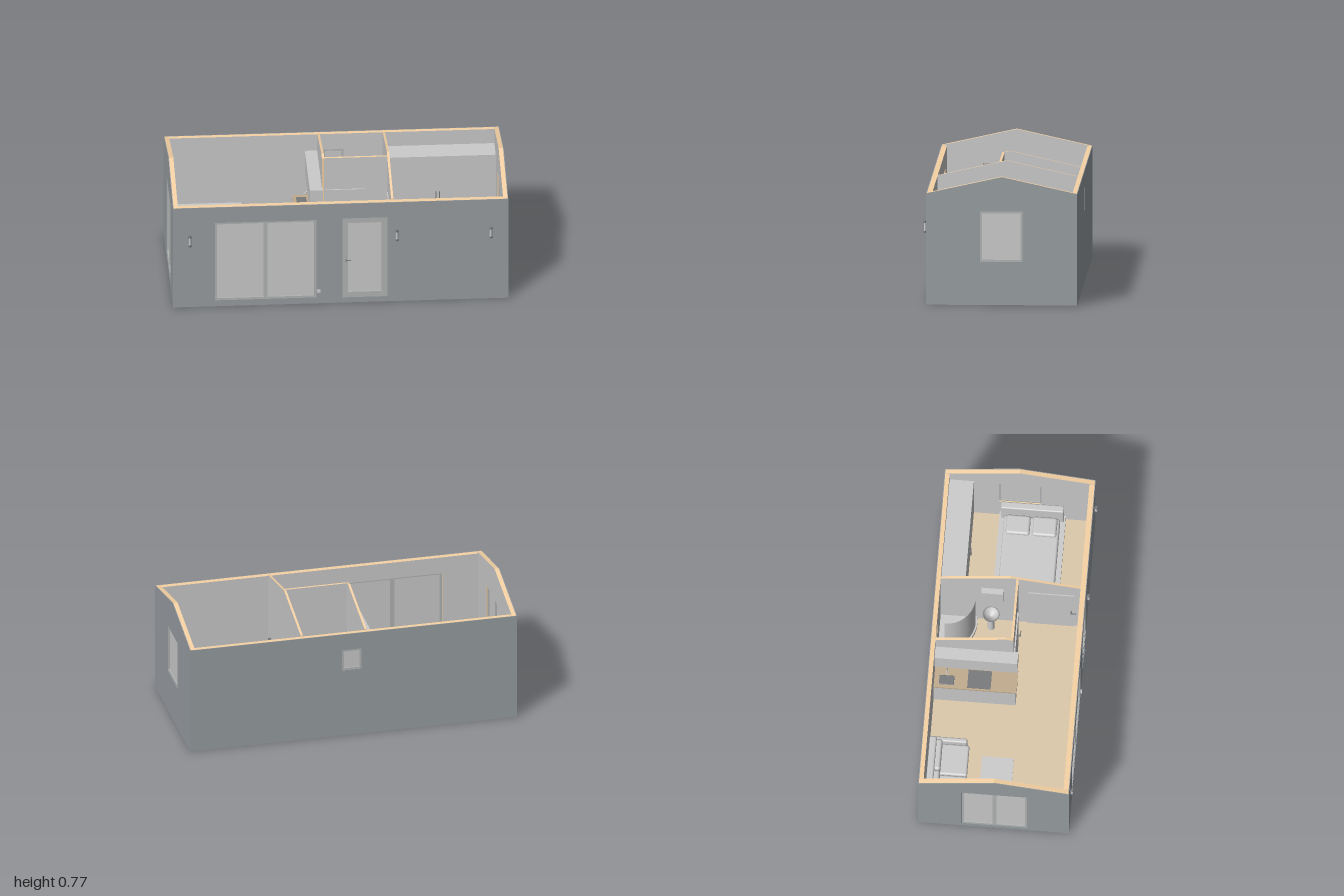
import * as THREE from 'three';
import { RoundedBoxGeometry } from 'three/addons/geometries/RoundedBoxGeometry.js';

const mat = (color) => new THREE.MeshStandardMaterial({ color, side: THREE.DoubleSide });
const GREY = mat(0xcccccc), CLAD = mat(0x989ea2), TIMBER = mat(0xf6d2a4), FLOOR = mat(0xdcc8aa),
  FRAME = mat(0xb2b6b3), DARK = mat(0x77797b), COUNTER = mat(0xc0aa8c);
const FLOOR_Y = 0.035, BACK = -0.46, FRONT = 0.44, EAVES = 0.67, RIDGE = 0.77, SKIN = 0.004;
const roofY = (z) => RIDGE - (RIDGE - EAVES) * Math.abs(z + 0.01) / 0.45;

function group(name, parent) {
  const g = new THREE.Group();
  g.name = name;
  parent.add(g);
  return g;
}

function mesh(name, geometry, material, parent, x = 0, y = 0, z = 0) {
  const m = new THREE.Mesh(geometry, material);
  m.name = name;
  m.position.set(x, y, z);
  parent.add(m);
  return m;
}

// Box given by its limits; a radius rounds the edges
function box(name, parent, [x0, x1], [y0, y1], [z0, z1], material = GREY, radius = 0) {
  const s = [x1 - x0, y1 - y0, z1 - z0];
  const geo = radius ? new RoundedBoxGeometry(...s, 3, radius) : new THREE.BoxGeometry(...s);
  return mesh(name, geo, material, parent, (x0 + x1) / 2, (y0 + y1) / 2, (z0 + z1) / 2);
}

const rect = (a, b, c, d) => [[a, c], [b, c], [b, d], [a, d]];
const gable = (z0, z1, y0 = 0) => {
  const top = z0 < -0.01 && z1 > -0.01 ? [[-0.01, RIDGE]] : [];
  return [[z0, y0], [z1, y0], [z1, roofY(z1)], ...top, [z0, roofY(z0)]];
};
const vectors = (pts) => pts.map(([a, b]) => new THREE.Vector2(a, b));

function slab(outline, holes, depth) {
  const shape = new THREE.Shape(vectors(outline));
  shape.holes = holes.map((h) => new THREE.Path(vectors(h)));
  return new THREE.ExtrudeGeometry(shape, { depth, bevelEnabled: false });
}

// Frame, glass panes and mullions filling one opening
function glazing(name, parent, { u, v, panes = 1, border = 0.012 }, z) {
  const g = group(name, parent);
  const [a, b] = u, [c, d] = v, step = (b - a) / panes, holes = [];
  for (let i = 0; i < panes; i++) {
    holes.push(rect(a + i * step + border, a + (i + 1) * step - border, c + border, d - border));
  }
  mesh('frame', slab(rect(a, b, c, d), holes, 0.02), FRAME, g, 0, 0, z - 0.01);
  for (let i = 0; i < panes; i++) {
    box('glass', g, [a + i * step, a + (i + 1) * step], [c + 0.005, d - 0.005], [z - 0.002, z + 0.002]);
  }
}

// Timber core lined inside, cladding skin outside, openings glazed
function outerWall(name, parent, core, skin, depth, outerAtEnd, openings) {
  const g = group(name, parent);
  const holes = openings.map(({ u, v }) => rect(...u, ...v));
  mesh('wallCore', slab(core, holes, depth - SKIN), [GREY, TIMBER], g, 0, 0, outerAtEnd ? 0 : SKIN);
  mesh('cladding', slab(skin, holes, SKIN), CLAD, g, 0, 0, outerAtEnd ? depth - SKIN : 0);
  openings.forEach((o) => glazing(o.name, g, o, outerAtEnd ? depth - 0.014 : 0.014));
  return g;
}

function buildShell(root) {
  const s = group('shell', root);
  const long = [rect(-0.996, 0.996, 0, EAVES), rect(-1, 1, 0, EAVES)];
  const end = [gable(BACK + SKIN, FRONT - SKIN), gable(BACK, FRONT)];
  outerWall('frontWall', s, ...long, 0.035, true, [
    { name: 'slidingDoor', u: [-0.75, -0.145], v: [0.04, 0.565], panes: 2 },
    { name: 'entranceDoor', u: [0.01, 0.28], v: [0.035, 0.57], border: 0.034 },
  ]).position.z = FRONT - 0.035;
  outerWall('backWall', s, ...long, 0.03, false, [
    { name: 'bathroomWindow', u: [-0.05, 0.07], v: [0.43, 0.565] },
  ]).position.z = BACK;
  const right = outerWall('bedroomEndWall', s, ...end, 0.03, false, [
    { name: 'bedroomWindow', u: [-0.135, 0.12], v: [0.26, 0.563] },
  ]);
  const left = outerWall('livingEndWall', s, ...end, 0.03, true, [
    { name: 'patioDoor', u: [-0.2, 0.19], v: [0.04, 0.565], panes: 2 },
  ]);
  right.position.x = 1;
  left.position.x = -0.97;
  right.rotation.y = left.rotation.y = -Math.PI / 2;
  box('floorBase', s, [-0.97, 0.97], [0.002, 0.02], [-0.43, 0.405], DARK);
  box('floor', s, [-0.97, 0.97], [0.02, FLOOR_Y], [-0.43, 0.405], FLOOR);

  // Inner partitions follow the roof slope
  const faces = [GREY, TIMBER];
  for (const [x, z0, z1] of [[-0.073, -0.43, 0.036], [0.317, -0.43, 0.405]]) {
    const p = mesh('partition', slab(gable(z0, z1, 0.02), [], 0.014), faces, s, x);
    p.rotation.y = -Math.PI / 2;
  }
  mesh('hallPartition', slab(rect(-0.073, 0.303, 0.02, roofY(0.03)), [], 0.014), faces, s, 0, 0, 0.022);
}

// Lever handle pointing along +x, projecting along +z
function handle(parent, x, y, z, turn = 0) {
  const g = group('doorHandle', parent);
  box('spindle', g, [-0.004, 0.004], [-0.004, 0.004], [0, 0.016], DARK);
  box('lever', g, [-0.004, 0.03], [-0.003, 0.003], [0.012, 0.018], DARK);
  g.position.set(x, y, z);
  g.rotation.y = turn;
}

function buildFittings(root) {
  const f = group('fittings', root);
  for (const x of [-0.9, 0.335, 0.895]) {
    const lamp = group('wallLamp', f);
    box('backPlate', lamp, [-0.01, 0.01], [-0.02, 0.02], [0, 0.004], DARK);
    mesh('lampTube', new THREE.CylinderGeometry(0.007, 0.007, 0.05, 16), GREY, lamp, 0, 0, 0.012);
    for (const y of [-0.03, 0.03]) {
      mesh('lampCap', new THREE.CylinderGeometry(0.009, 0.009, 0.012, 16), DARK, lamp, 0, y, 0.012);
    }
    lamp.position.set(x, 0.452, FRONT);
  }
  handle(f, 0.032, 0.29, FRONT - 0.004);
  box('slidingDoorStop', f, [-0.14, -0.12], [0.075, 0.092], [FRONT, FRONT + 0.008]);
  box('bathroomDoor', f, [-0.07, 0.17], [FLOOR_Y, 0.55], [0.038, 0.046]);
  handle(f, 0.12, 0.29, 0.046);
  box('bedroomDoor', f, [0.297, 0.303], [FLOOR_Y, 0.55], [0.09, 0.37]);
  handle(f, 0.297, 0.29, 0.35, -Math.PI / 2);
  handle(f, 0.317, 0.29, 0.33, Math.PI / 2);
}

function buildLiving(root) {
  const sofa = group('sofa', root);
  box('base', sofa, [-0.945, -0.53], [0.045, 0.1], [-0.42, -0.2], GREY, 0.008);
  box('backrest', sofa, [-0.945, -0.53], [0.06, 0.23], [-0.428, -0.385], GREY, 0.012);
  for (const x of [-0.965, -0.54]) box('arm', sofa, [x, x + 0.03], [FLOOR_Y, 0.17], [-0.428, -0.205], GREY, 0.01);
  for (const x of [-0.935, -0.737]) {
    box('seatCushion', sofa, [x, x + 0.195], [0.095, 0.14], [-0.36, -0.19], GREY, 0.012);
    box('backCushion', sofa, [x, x + 0.195], [0.135, 0.22], [-0.39, -0.35], GREY, 0.015);
  }
  const table = group('coffeeTable', root);
  box('tableTop', table, [-0.905, -0.605], [0.125, 0.14], [-0.11, 0.08]);
  for (const x of [-0.9, -0.625]) for (const z of [-0.105, 0.06]) {
    box('tableLeg', table, [x, x + 0.015], [FLOOR_Y, 0.125], [z, z + 0.015]);
  }
}

function buildKitchen(root) {
  const k = group('kitchen', root);
  box('lowerCabinets', k, [-0.23, -0.087], [FLOOR_Y, 0.25], [-0.43, 0.06]);
  box('worktop', k, [-0.235, -0.087], [0.25, 0.262], [-0.43, 0.065], COUNTER);
  box('upperCabinets', k, [-0.16, -0.082], [0.41, 0.56], [-0.43, 0.065]);
  box('sink', k, [-0.215, -0.155], [0.255, 0.265], [-0.4, -0.31], DARK, 0.004);
  box('hob', k, [-0.225, -0.11], [0.262, 0.265], [-0.23, -0.09], DARK);
  const tap = new THREE.CatmullRomCurve3([[-0.13, 0.26], [-0.13, 0.31], [-0.15, 0.325], [-0.17, 0.305]]
    .map(([x, y]) => new THREE.Vector3(x, y, -0.355)));
  mesh('tap', new THREE.TubeGeometry(tap, 16, 0.004, 8), GREY, k);
}

function buildBathroom(root) {
  const b = group('bathroom', root);
  box('cistern', b, [-0.05, 0.05], [0.13, 0.25], [-0.428, -0.385], GREY, 0.008);
  const bowl = [[0.02, 0], [0.03, 0.005], [0.025, 0.05], [0.048, 0.095], [0.048, 0.11], [0, 0.112]];
  mesh('toiletBowl', new THREE.LatheGeometry(vectors(bowl), 32), GREY, b, 0, FLOOR_Y, -0.322).scale.z = 1.4;

  // Quadrant shower: tray, rim and curved screen around the back corner
  const quadrant = (r, w) => {
    const s = new THREE.Shape();
    s.moveTo(0, 0).lineTo(-r, 0).lineTo(-r, -w);
    s.absarc(-w, -w, r - w, Math.PI, Math.PI * 1.5, false);
    s.lineTo(0, -r).lineTo(0, 0);
    return s;
  };
  const shower = group('shower', b);
  const extrude = (shape, depth) => new THREE.ExtrudeGeometry(shape, { depth, bevelEnabled: false, curveSegments: 24 });
  const rim = quadrant(0.222, 0.04);
  rim.holes.push(new THREE.Path(quadrant(0.205, 0.04).getPoints(24)));
  mesh('tray', extrude(quadrant(0.215, 0.04), 0.015), GREY, shower);
  mesh('trayRim', extrude(rim, 0.03), GREY, shower);
  mesh('screen', new THREE.CylinderGeometry(0.172, 0.172, 0.42, 24, 1, true, Math.PI * 1.5, Math.PI / 2),
    GREY, shower, -0.04, -0.04, 0.235).rotation.x = Math.PI / 2;
  shower.rotation.x = -Math.PI / 2;
  shower.position.set(0.303, FLOOR_Y, -0.43);

  const basin = [[0.015, 0], [0.035, 0.03], [0.05, 0.07], [0.044, 0.07], [0.03, 0.04], [0, 0.03]];
  mesh('washbasin', new THREE.LatheGeometry(vectors(basin), 32), GREY, b, 0.255, 0.18, -0.125);
  mesh('basinPedestal', new THREE.CylinderGeometry(0.016, 0.022, 0.15, 20), GREY, b, 0.255, 0.11, -0.125);
  box('mirrorCabinet', b, [0.268, 0.303], [0.4, 0.57], [-0.185, -0.055]);
}

function buildBedroom(root) {
  const r = group('bedroom', root);
  box('wardrobe', r, [0.317, 0.97], [FLOOR_Y, 0.575], [-0.43, -0.285]);
  for (const x of [0.61, 0.63]) box('wardrobeHandle', r, [x, x + 0.006], [0.27, 0.34], [-0.285, -0.272], DARK);
  const bed = group('bed', r);
  box('bedFrame', bed, [0.47, 0.965], [0.05, 0.1], [-0.13, 0.265]);
  box('mattress', bed, [0.49, 0.925], [0.1, 0.16], [-0.1, 0.235], GREY, 0.015);
  box('headboard', bed, [0.925, 0.968], [FLOOR_Y, 0.27], [-0.12, 0.255], GREY, 0.008);
  for (const z of [-0.083, 0.077]) box('pillow', bed, [0.8, 0.92], [0.155, 0.19], [z, z + 0.143], GREY, 0.015);
  for (const x of [0.49, 0.92]) for (const z of [-0.11, 0.225]) {
    box('bedLeg', bed, [x, x + 0.02], [FLOOR_Y, 0.05], [z, z + 0.02]);
  }
}

export function createModel() {
  const root = new THREE.Group();
  root.name = 'cabin';
  for (const build of [buildShell, buildFittings, buildLiving, buildKitchen, buildBathroom, buildBedroom]) build(root);
  return root;
}
